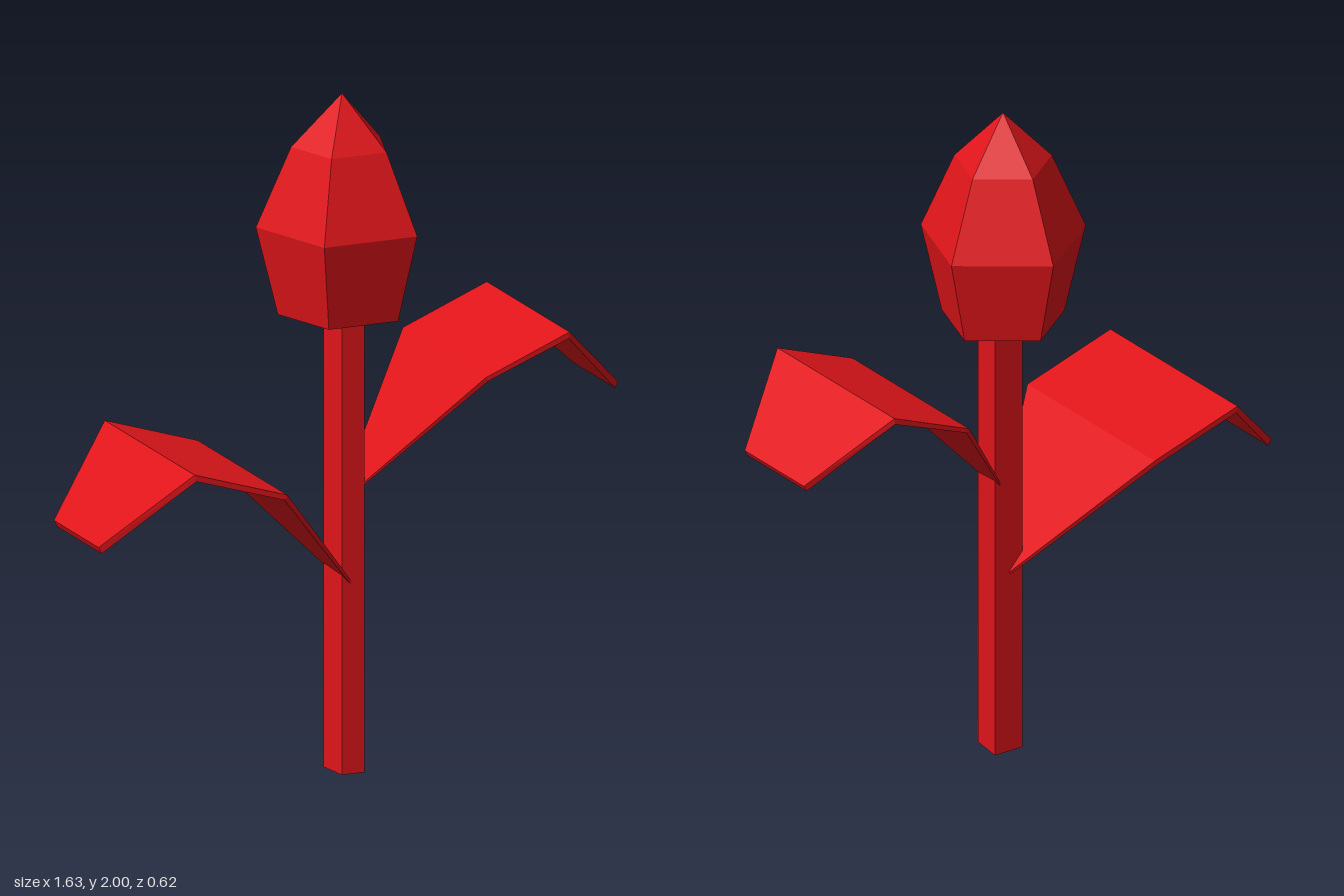
import * as THREE from 'three';

const red = new THREE.MeshStandardMaterial({ color: 0xe0151a, flatShading: true });

function addMesh(group, name, geometry) {
  const mesh = new THREE.Mesh(geometry, red);
  mesh.name = name;
  group.add(mesh);
  return mesh;
}

// Loft a leaf outward along +x; each section is [xTop, yTop, xBottom, yBottom, halfWidth]
function leafGeometry(sections) {
  const positions = [];
  for (const [xt, yt, xb, yb, w] of sections) {
    positions.push(xt, yt, w, xt, yt, -w, xb, yb, -w, xb, yb, w);
  }
  const index = [0, 1, 2, 0, 2, 3];
  for (let i = 0; i < sections.length - 1; i++) {
    for (let j = 0; j < 4; j++) {
      const a = i * 4 + j, b = i * 4 + (j + 1) % 4;
      index.push(a, a + 4, b, b, a + 4, b + 4);
    }
  }
  const e = (sections.length - 1) * 4;
  index.push(e, e + 2, e + 1, e, e + 3, e + 2);
  const geometry = new THREE.BufferGeometry();
  geometry.setAttribute('position', new THREE.Float32BufferAttribute(positions, 3));
  geometry.setIndex(index);
  geometry.computeVertexNormals();
  return geometry;
}

export function createModel() {
  const flower = new THREE.Group();
  flower.name = 'flower';

  // Stem: four-sided, slightly narrower at the front
  const outline = new THREE.Shape([
    new THREE.Vector2(-0.008, -0.05), new THREE.Vector2(0.062, -0.05),
    new THREE.Vector2(0.074, 0.05), new THREE.Vector2(-0.021, 0.05),
  ]);
  const stem = new THREE.ExtrudeGeometry(outline, { depth: 1.36, bevelEnabled: false });
  stem.rotateX(-Math.PI / 2);
  addMesh(flower, 'stem', stem);

  // Bud: five-sided, closed underneath, one corner to the back
  const profile = [[0, 1.35], [0.184, 1.35], [0.247, 1.61], [0.146, 1.845], [0, 2]]
    .map(([r, y]) => new THREE.Vector2(r, y));
  const bud = addMesh(flower, 'bud', new THREE.LatheGeometry(profile, 5, Math.PI));
  bud.position.set(0.02, 0, -0.013);

  // Upper leaf on the left
  const upper = addMesh(flower, 'upperLeaf', leafGeometry([
    [0.055, 0.853, 0.058, 0.848, 0.05],
    [0.335, 1.197, 0.345, 1.187, 0.287],
    [0.597, 1.302, 0.595, 1.283, 0.287],
    [0.813, 1.093, 0.803, 1.075, 0.145],
  ]));
  upper.position.z = -0.003;

  // Lower leaf on the right, turned to face the other way
  const lower = addMesh(flower, 'lowerLeaf', leafGeometry([
    [-0.025, 0.567, -0.021, 0.559, 0.05],
    [0.295, 0.930, 0.305, 0.916, 0.312],
    [0.585, 1.023, 0.580, 1.003, 0.312],
    [0.815, 0.795, 0.805, 0.775, 0.155],
  ]));
  lower.rotation.y = Math.PI;
  lower.position.z = -0.003;

  return flower;
}
